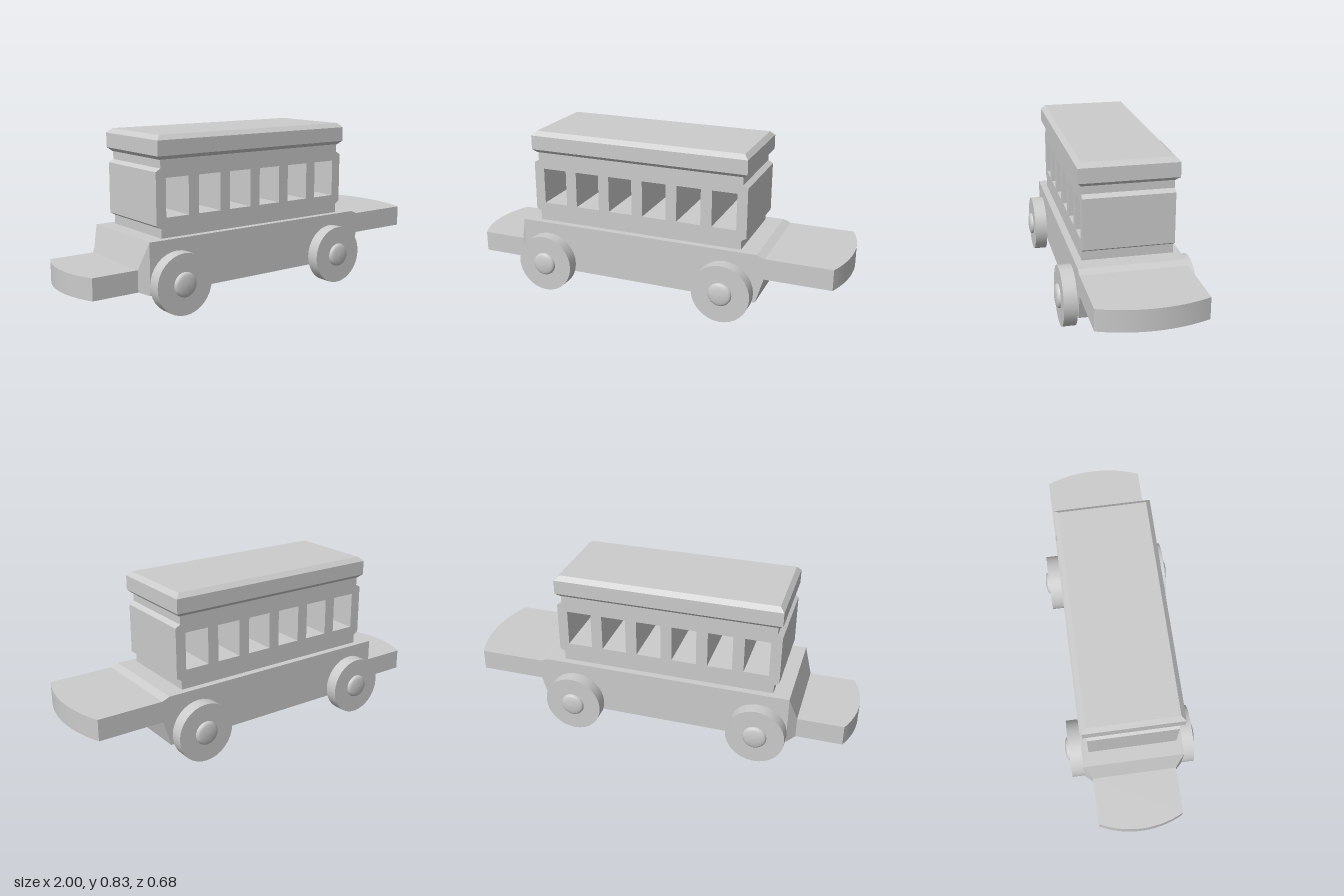
import * as THREE from 'three';
import { toCreasedNormals } from 'three/addons/utils/BufferGeometryUtils.js';

const material = new THREE.MeshStandardMaterial({ color: 0xcccccc });

function addMesh(parent, name, geometry) {
  const mesh = new THREE.Mesh(geometry, material);
  mesh.name = name;
  parent.add(mesh);
  return mesh;
}

// Flat-faced solid through four-cornered sections, counterclockwise seen from the last one
function loft(sections) {
  const pos = [];
  const quad = (a, b, c, d) => [a, b, c, a, c, d].forEach((p) => pos.push(...p));
  for (let s = 0; s < sections.length - 1; s++) {
    const lo = sections[s], hi = sections[s + 1];
    for (let i = 0; i < 4; i++) {
      const j = (i + 1) % 4;
      quad(lo[i], lo[j], hi[j], hi[i]);
    }
  }
  quad(...[...sections[0]].reverse());
  quad(...sections[sections.length - 1]);
  const g = new THREE.BufferGeometry();
  g.setAttribute('position', new THREE.Float32BufferAttribute(pos, 3));
  g.computeVertexNormals();
  return g;
}

// Flat deck with a bowed outer end; side is +1 or -1 along x
function platform(side, inner, halfWidth, y0, y1) {
  const bow = 0.05, n = 16;
  const r = (halfWidth ** 2 + bow ** 2) / (2 * bow);
  const shape = new THREE.Shape();
  shape.moveTo(side * inner, -halfWidth);
  for (let i = 0; i <= n; i++) {
    const z = halfWidth * (2 * i / n - 1);
    shape.lineTo(side * (1 - r + Math.sqrt(r * r - z * z)), z);
  }
  shape.lineTo(side * inner, halfWidth);
  const g = new THREE.ExtrudeGeometry(shape, { depth: y1 - y0, bevelEnabled: false });
  g.rotateX(-Math.PI / 2).translate(0, y0, 0);
  return toCreasedNormals(g, 0.2);
}

export function createModel() {
  const model = new THREE.Group();
  model.name = 'railCarriage';

  // Chassis: sections along x as [x, bottom, top, half width]
  const chassis = [
    [-0.72, 0.12, 0.225, 0.215],
    [-0.68, 0.105, 0.355, 0.255],
    [0.583, 0.105, 0.355, 0.255],
    [0.622, 0.235, 0.34, 0.255],
  ].map(([x, b, t, w]) => [[x, b, w], [x, b, -w], [x, t, -w], [x, t, w]]);
  addMesh(model, 'chassis', loft(chassis));
  addMesh(model, 'rearPlatform', platform(-1, 0.72, 0.215, 0.12, 0.225));
  addMesh(model, 'frontPlatform', platform(1, 0.622, 0.255, 0.235, 0.34));

  // Cabin: stepped end profile with six windows cut right through
  const half = [[0.545, 0.355], [0.545, 0.4], [0.57, 0.415], [0.57, 0.665], [0.545, 0.68], [0.545, 0.72]];
  const cx = -0.05;
  const outline = [
    ...half.map(([x, y]) => new THREE.Vector2(cx + x, y)),
    ...[...half].reverse().map(([x, y]) => new THREE.Vector2(cx - x, y)),
  ];
  const wall = new THREE.Shape(outline);
  for (let i = 0; i < 6; i++) {
    const x0 = -0.567 + i * 0.182, x1 = x0 + 0.125;
    wall.holes.push(new THREE.Path([
      new THREE.Vector2(x0, 0.45), new THREE.Vector2(x0, 0.635),
      new THREE.Vector2(x1, 0.635), new THREE.Vector2(x1, 0.45),
    ]));
  }
  const cabin = new THREE.ExtrudeGeometry(wall, { depth: 0.44, bevelEnabled: false });
  addMesh(model, 'cabin', cabin.translate(0, 0, -0.22));

  // Roof: sections up y as [y, inset], bevelled below and above
  const roof = [[0.72, 0.02], [0.738, 0], [0.81, 0], [0.832, 0.022]].map(([y, inset]) => {
    const x = 0.57 - inset, z = 0.24 - inset;
    return [[cx - x, y, z], [cx + x, y, z], [cx + x, y, -z], [cx - x, y, -z]];
  });
  addMesh(model, 'roof', loft(roof));

  // Wheels with domed axle caps
  const wheelGeometry = new THREE.CylinderGeometry(0.148, 0.148, 0.065, 32).rotateX(Math.PI / 2);
  const capProfile = [
    [0.06, 0], [0.059, 0.006], [0.055, 0.012], [0.048, 0.016], [0.034, 0.019], [0.018, 0.021], [0, 0.022],
  ].map(([r, y]) => new THREE.Vector2(r, y));
  const capGeometry = new THREE.LatheGeometry(capProfile, 24).rotateX(Math.PI / 2);
  for (const x of [-0.533, 0.425]) {
    for (const side of [1, -1]) {
      const wheel = new THREE.Group();
      wheel.name = (x < 0 ? 'rear' : 'front') + (side > 0 ? 'Near' : 'Far') + 'Wheel';
      addMesh(wheel, 'tread', wheelGeometry).position.z = 0.2875;
      addMesh(wheel, 'axleCap', capGeometry).position.z = 0.32;
      wheel.position.set(x, 0.15, 0);
      if (side < 0) wheel.rotation.y = Math.PI;
      model.add(wheel);
    }
  }
  return model;
}
